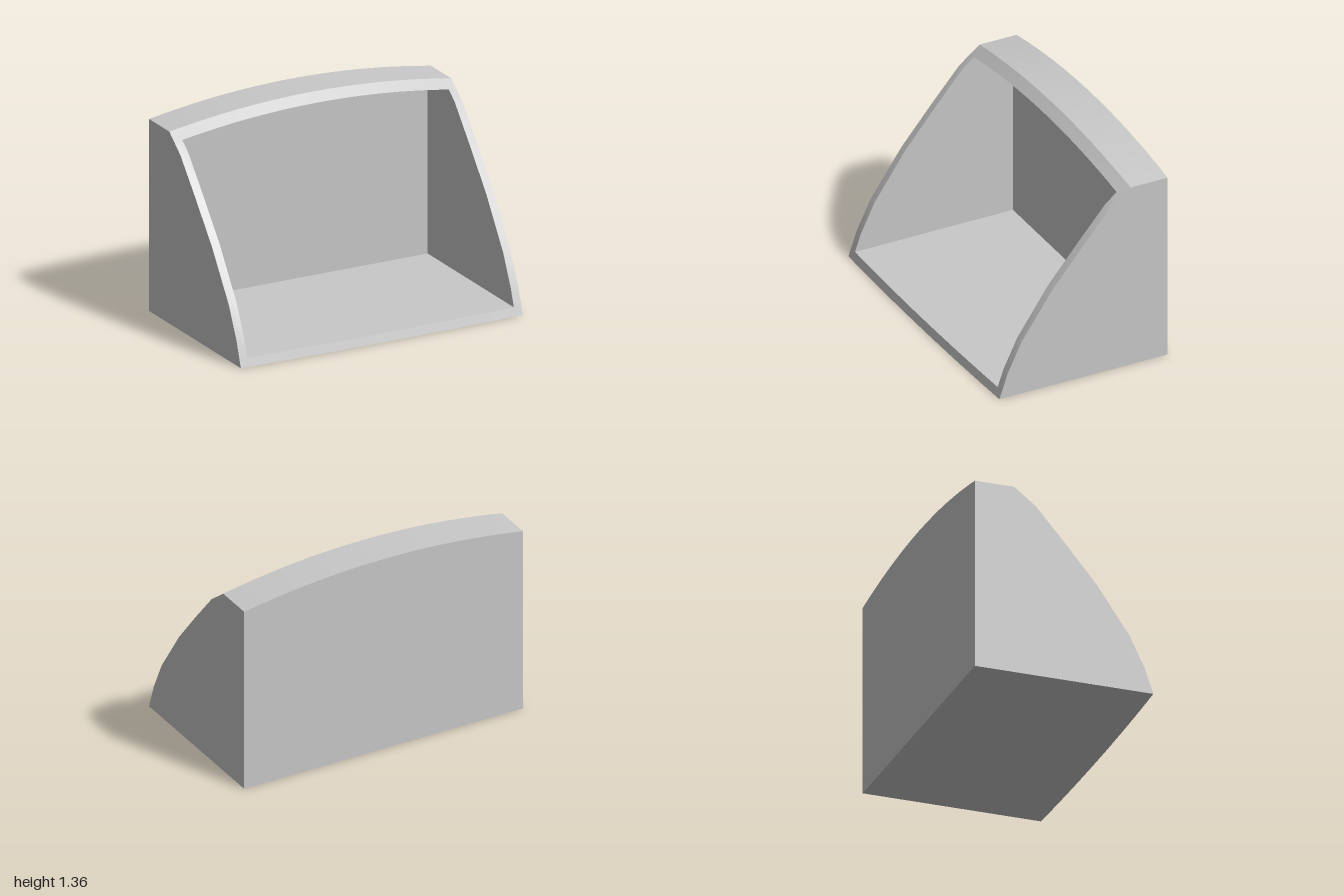
import * as THREE from 'three';
import { toCreasedNormals } from 'three/addons/utils/BufferGeometryUtils.js';

const WALL = 0.055, BACK = -0.6, ARC = 16;

// Side profile of the slanted front: [fraction of height, z]
const PROFILE = [[0, 0.583], [0.134, 0.524], [0.291, 0.427], [0.539, 0.21], [0.736, 0], [0.913, -0.196], [1, -0.34]];

const topY = (x) => 1.36 - 0.09 * x * x;

// Depth of the front surface, bulging slightly towards the middle
function frontZ(x, y) {
  const t = Math.min(1, y / topY(x));
  let i = 0;
  while (i < PROFILE.length - 2 && t > PROFILE[i + 1][0]) i++;
  const [t0, z0] = PROFILE[i], [t1, z1] = PROFILE[i + 1];
  const bulge = (0.017 - 0.007 * t) * (1 - x * x);
  return z0 + (z1 - z0) * (t - t0) / (t1 - t0) + bulge;
}

// Closed outline seen from the front, counter-clockwise, inset from the outside
function outline(inset) {
  const w = 1 - inset, pts = [], side = [];
  const roof = (x) => topY(x) - inset * 0.95;
  for (let i = 1; i < PROFILE.length - 1; i++) side.push(PROFILE[i][0] * topY(w));
  for (let i = 0; i < ARC; i++) pts.push([-w + 2 * w * i / ARC, inset]);
  pts.push([w, inset]);
  side.forEach((y) => pts.push([w, y]));
  for (let i = 0; i <= ARC; i++) {
    const x = w - 2 * w * i / ARC;
    pts.push([x, roof(x)]);
  }
  side.reverse().forEach((y) => pts.push([-w, y]));
  return pts;
}

const atFront = (pts) => pts.map(([x, y]) => [x, y, frontZ(x, y)]);
const atDepth = (pts, z) => pts.map(([x, y]) => [x, y, z]);

// Band of quads between two matching closed loops
function band(a, b) {
  const pos = [];
  a.forEach((p, i) => {
    const j = (i + 1) % a.length;
    pos.push(...p, ...a[j], ...b[j], ...p, ...b[j], ...b[i]);
  });
  const g = new THREE.BufferGeometry();
  g.setAttribute('position', new THREE.Float32BufferAttribute(pos, 3));
  return toCreasedNormals(g, 0.5);
}

function panel(pts) {
  return new THREE.ShapeGeometry(new THREE.Shape(pts.map(([x, y]) => new THREE.Vector2(x, y))));
}

export function createModel() {
  const group = new THREE.Group();
  group.name = 'openFrontedHousing';
  const grey = new THREE.MeshStandardMaterial({ color: 0xc8c8c8 });
  grey.name = 'light grey';

  const add = (name, geometry) => {
    const mesh = new THREE.Mesh(geometry, grey);
    mesh.name = name;
    group.add(mesh);
  };

  const outer = outline(0), inner = outline(WALL);

  // Shell walls, front rim and cavity
  add('outerWalls', band(atDepth(outer, BACK), atFront(outer)));
  add('frontRim', band(atFront(outer), atFront(inner)));
  add('innerWalls', band(atFront(inner), atDepth(inner, BACK + WALL)));

  // Back wall, outside and inside faces
  add('backPanel', panel(outer).rotateY(Math.PI).translate(0, 0, BACK));
  add('innerBackPanel', panel(inner).translate(0, 0, BACK + WALL));

  return group;
}
